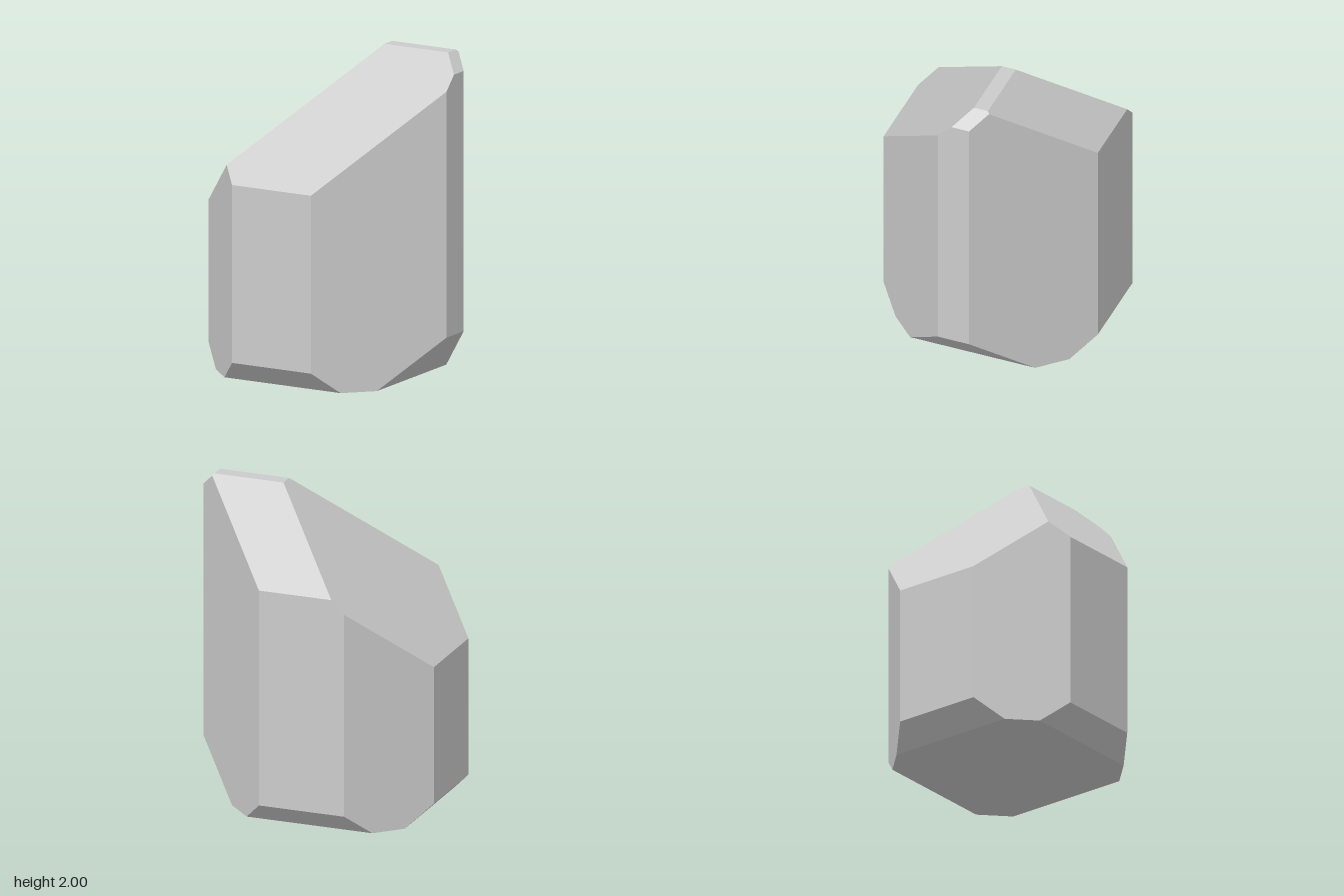
import * as THREE from 'three';
import { ConvexGeometry } from 'three/addons/geometries/ConvexGeometry.js';

// Cutting planes of the crystal: outward direction (x, y, z) and limit of x*X + y*Y + z*Z
const CUTS = [
  // upright sides
  [1, 0, 0, 0.775], [-1, 0, 0, 0.775], [0, 0, 1, 0.69], [0, 0, -1, 0.69],
  // upright corner facets
  [1, 0, 1, 0.875], [1, 0, -1, 0.875], [-1, 0, 1, 1.053], [-1, 0, -1, 1.053],
  // base and its bevels
  [0, -1, 0, 0], [1, -1, 0, 0.472], [-1, -1, 0, 0.642], [0, -1, 1, 0.56], [0, -1, -1, 0.56],
  // crest and the roof slopes
  [0, 1, 0, 2], [1, 1, 0, 2.672], [-1, 1, 0, 1.77], [0, 1, 1, 1.91], [0, 1, -1, 2.18],
];

// Corners of the solid: every meeting point of three planes that lies inside all the others
function cornersOf(cuts) {
  const corners = [];
  const normals = cuts.map(([x, y, z]) => new THREE.Vector3(x, y, z));
  const inside = (p) => cuts.every((c, n) => normals[n].dot(p) <= c[3] + 1e-5);
  for (let i = 0; i < cuts.length; i++) {
    for (let j = i + 1; j < cuts.length; j++) {
      for (let k = j + 1; k < cuts.length; k++) {
        const jk = normals[j].clone().cross(normals[k]);
        const det = normals[i].dot(jk);
        if (Math.abs(det) < 1e-6) continue;
        const p = jk.multiplyScalar(cuts[i][3])
          .addScaledVector(normals[k].clone().cross(normals[i]), cuts[j][3])
          .addScaledVector(normals[i].clone().cross(normals[j]), cuts[k][3])
          .divideScalar(det);
        if (inside(p) && !corners.some((q) => q.distanceTo(p) < 1e-4)) corners.push(p);
      }
    }
  }
  return corners;
}

export function createModel() {
  const group = new THREE.Group();
  group.name = 'crystal';
  const material = new THREE.MeshStandardMaterial({ color: 0xcccccc, flatShading: true });
  const body = new THREE.Mesh(new ConvexGeometry(cornersOf(CUTS)), material);
  body.name = 'crystalBody';
  group.add(body);
  return group;
}
